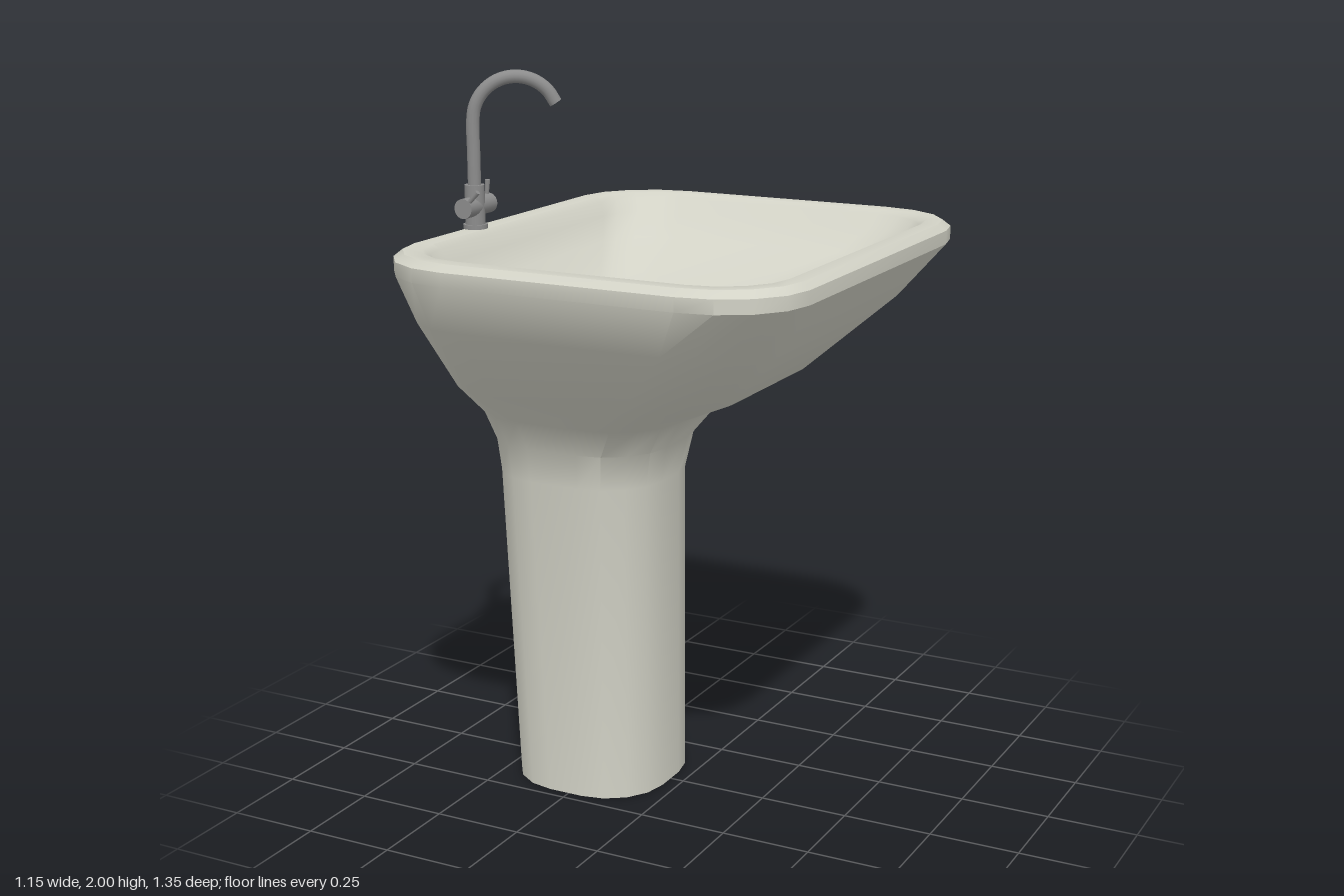
import * as THREE from 'three';
import { toCreasedNormals } from 'three/addons/utils/BufferGeometryUtils.js';

const CORNER_STEPS = 4;

// Rounded rectangle ring: height, x range, half depth, corner radii
function ring([y, x0, x1, hz, rx, rz = rx]) {
  const cx = (x0 + x1) / 2, hx = (x1 - x0) / 2;
  const signs = [[1, 1], [-1, 1], [-1, -1], [1, -1]];
  const points = [];
  signs.forEach(([sx, sz], q) => {
    for (let i = 0; i <= CORNER_STEPS; i++) {
      const a = (q + i / CORNER_STEPS) * Math.PI / 2;
      points.push([cx + sx * (hx - rx) + rx * Math.cos(a), y, sz * (hz - rz) + rz * Math.sin(a)]);
    }
  });
  return points;
}

// Skin a list of rings, bottom to top
function loft(sections, crease) {
  const rings = sections.map(ring), n = rings[0].length, index = [];
  for (let i = 0; i < rings.length - 1; i++) {
    for (let j = 0; j < n; j++) {
      const a = i * n + j, b = i * n + (j + 1) % n;
      index.push(a, a + n, b, b, a + n, b + n);
    }
  }
  const geometry = new THREE.BufferGeometry();
  geometry.setAttribute('position', new THREE.Float32BufferAttribute(rings.flat(2), 3));
  geometry.setIndex(index);
  return toCreasedNormals(geometry, crease);
}

export function createModel() {
  const model = new THREE.Group();
  const ceramic = new THREE.MeshStandardMaterial({ color: 0xd2d2c6, side: THREE.DoubleSide });
  const metal = new THREE.MeshStandardMaterial({ color: 0x8c8c8c });

  const add = (parent, name, geometry, material, x = 0, y = 0, z = 0) => {
    const mesh = new THREE.Mesh(geometry, material);
    mesh.name = name;
    mesh.position.set(x, y, z);
    parent.add(mesh);
    return mesh;
  };

  // Pedestal flaring into the bowl, over the rim and down to the drain
  add(model, 'basinAndPedestal', loft([
    [0, -0.48, -0.04, 0.22, 0.17],
    [0.9, -0.525, -0.04, 0.22, 0.17],
    [1.0, -0.532, -0.02, 0.24, 0.18],
    [1.09, -0.537, 0.045, 0.3, 0.19],
    [1.19, -0.543, 0.255, 0.435, 0.21],
    [1.39, -0.567, 0.47, 0.595, 0.23],
    [1.525, -0.575, 0.572, 0.677, 0.25, 0.22],
    [1.562, -0.575, 0.572, 0.677, 0.25, 0.22],
    [1.58, -0.555, 0.552, 0.657, 0.24, 0.21],
    [1.58, -0.505, 0.51, 0.615, 0.19, 0.18],
    [1.567, -0.488, 0.493, 0.597, 0.18, 0.17],
    [1.53, -0.472, 0.468, 0.57, 0.17, 0.16],
    [1.47, -0.43, 0.39, 0.48, 0.15],
    [1.39, -0.335, 0.17, 0.26, 0.12],
    [1.325, -0.245, -0.075, 0.085, 0.083],
    [1.23, -0.245, -0.075, 0.085, 0.083],
  ], 0.62), ceramic);

  // Drain bottom
  const drain = add(model, 'drainFloor', new THREE.CircleGeometry(0.085, 24), ceramic, -0.16, 1.23, 0);
  drain.rotation.x = -Math.PI / 2;

  // Mixer tap on the back ledge
  const tap = new THREE.Group();
  tap.name = 'tap';
  tap.position.set(-0.537, 1.58, 0.18);
  model.add(tap);
  const tube = (r, h) => new THREE.CylinderGeometry(r, r, h, 20);
  add(tap, 'tapFlange', tube(0.033, 0.012), metal, 0, 0.006, 0);
  add(tap, 'tapBody', tube(0.027, 0.118), metal, 0, 0.059, 0);
  const valve = add(tap, 'valveBarrel', tube(0.027, 0.13), metal, 0, 0.06, -0.005);
  valve.rotation.x = Math.PI / 2;

  // Handle levers at both ends of the barrel
  [[0.054, 0.75], [-0.056, 0.1]].forEach(([z, tilt]) => {
    const pivot = new THREE.Group();
    pivot.name = 'handle';
    pivot.position.set(0, 0.06, z);
    pivot.rotation.z = -tilt;
    tap.add(pivot);
    add(pivot, 'lever', new THREE.CylinderGeometry(0.007, 0.005, 0.065, 10), metal, 0, 0.0325, 0);
  });

  // Gooseneck spout swung towards the drain
  const reach = 0.115, bend = 0.29;
  const path = [new THREE.Vector3(0, 0.1, 0), new THREE.Vector3(0, 0.2, 0)];
  for (let i = 0; i <= 8; i++) {
    const a = Math.PI - (i / 8) * THREE.MathUtils.degToRad(157);
    path.push(new THREE.Vector3(reach + reach * Math.cos(a), bend + reach * Math.sin(a), 0));
  }
  const curve = new THREE.CatmullRomCurve3(path);
  const spout = new THREE.Group();
  spout.name = 'spout';
  spout.rotation.y = 0.54;
  tap.add(spout);
  add(spout, 'spoutPipe', new THREE.TubeGeometry(curve, 48, 0.018, 14), metal);
  const tip = add(spout, 'spoutEnd', new THREE.CircleGeometry(0.018, 14), metal);
  tip.position.copy(curve.getPoint(1));
  tip.quaternion.setFromUnitVectors(new THREE.Vector3(0, 0, 1), curve.getTangent(1));

  return model;
}
